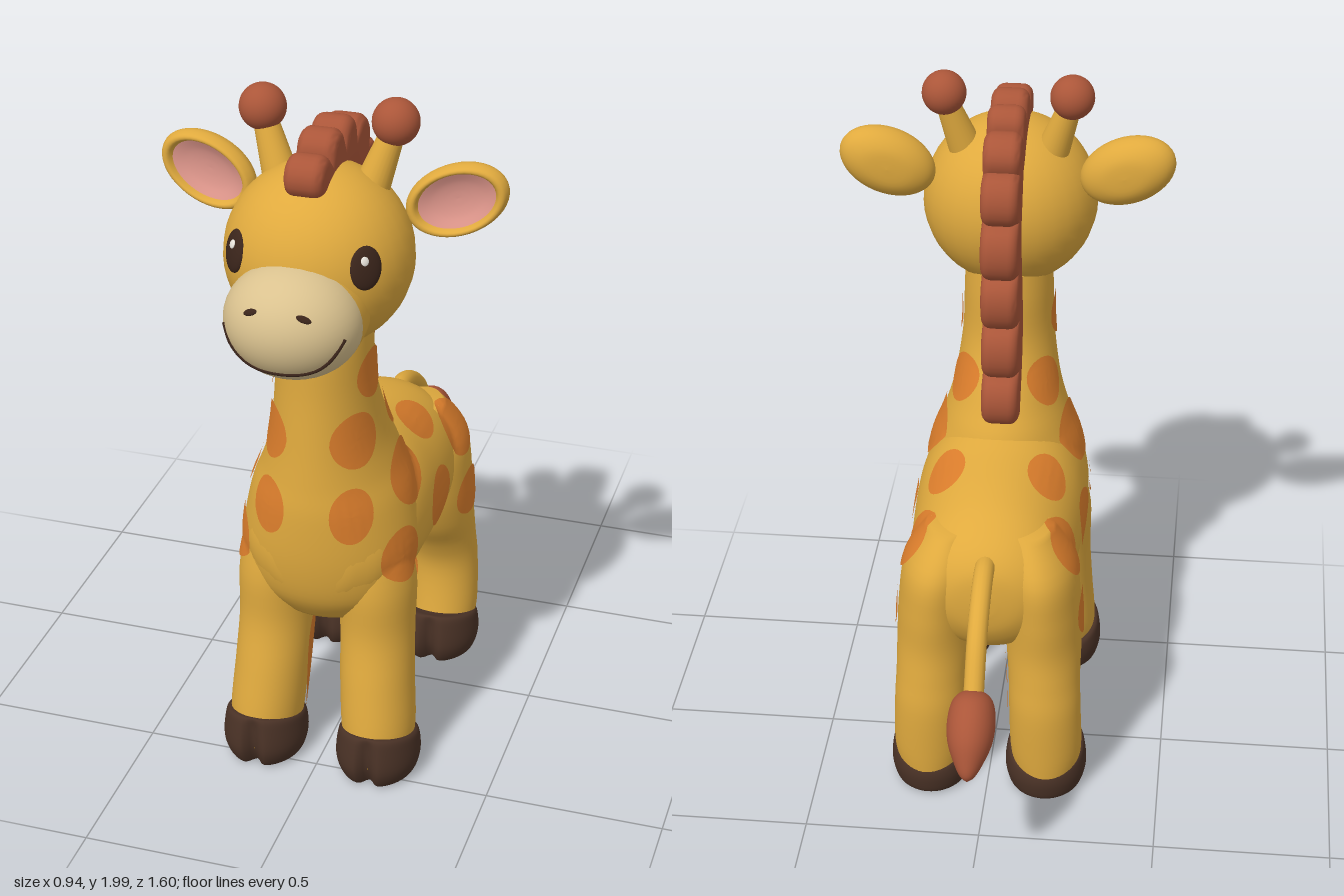
import * as THREE from 'three';
import { toCreasedNormals } from 'three/addons/utils/BufferGeometryUtils.js';

const V = (x, y, z) => new THREE.Vector3(x, y, z);

function makeMaterial(name, color) {
  const m = new THREE.MeshStandardMaterial({ color });
  m.name = name;
  return m;
}

// Smoothly resample a list of number rows
function resample(rows, steps = 5) {
  const out = [];
  for (let i = 0; i < rows.length - 1; i++) {
    const a = rows[Math.max(i - 1, 0)], b = rows[i], c = rows[i + 1], d = rows[Math.min(i + 2, rows.length - 1)];
    for (let s = 0; s < steps; s++) {
      const t = s / steps;
      out.push(b.map((_, k) => b[k] + 0.5 * t * (c[k] - a[k] + t * (2 * a[k] - 5 * b[k] + 4 * c[k] - d[k]
        + t * (3 * (b[k] - c[k]) + d[k] - a[k])))));
    }
  }
  out.push(rows[rows.length - 1]);
  return out;
}

// Closed smooth skin over rings; point(row, angle) gives a ring vertex
function loft(rows, point, n = 48) {
  const pos = [], idx = [], R = rows.length;
  rows.forEach(r => {
    for (let j = 0; j < n; j++) pos.push(...point(r, j / n * Math.PI * 2).toArray());
  });
  for (let i = 0; i < R - 1; i++) for (let j = 0; j < n; j++) {
    const a = i * n + j, b = i * n + (j + 1) % n;
    idx.push(a, a + n, b, b, a + n, b + n);
  }
  for (const i of [0, R - 1]) {
    const c = V(0, 0, 0), at = pos.length / 3;
    for (let j = 0; j < n; j++) c.add(V(...pos.slice((i * n + j) * 3, (i * n + j) * 3 + 3)));
    pos.push(...c.divideScalar(n).toArray());
    for (let j = 0; j < n; j++) {
      const a = i * n + j, b = i * n + (j + 1) % n;
      idx.push(...(i ? [at, a, b].reverse() : [at, a, b]));
    }
  }
  const g = new THREE.BufferGeometry();
  g.setAttribute('position', new THREE.Float32BufferAttribute(pos, 3));
  g.setIndex(idx);
  g.computeVertexNormals();
  return g;
}

// Copy an indexed geometry to the other side
function mirror(geo) {
  const g = geo.clone().applyMatrix4(new THREE.Matrix4().makeScale(-1, 1, 1));
  const a = g.index.array;
  for (let i = 0; i < a.length; i += 3) [a[i], a[i + 1]] = [a[i + 1], a[i]];
  return g;
}

// Turn local +z to a direction and move to a point
function place(geo, p, dir) {
  const q = new THREE.Quaternion().setFromUnitVectors(V(0, 0, 1), dir.clone().normalize());
  return geo.applyQuaternion(q).translate(p.x, p.y, p.z);
}

const ball = (x, y, z) => new THREE.SphereGeometry(1, 32, 24).scale(x, y, z);

// Patch draped over the target meshes, seen along normal n
function patch(targets, aim, n, ru, rv) {
  n = n.clone().normalize();
  const u = V(0, 1, 0).cross(n).normalize(), v = n.clone().cross(u);
  const ray = new THREE.Raycaster(), seg = 28, rings = 7, pos = [], idx = [], last = [];
  for (let k = 0; k <= rings; k++) for (let j = 0; j < seg; j++) {
    const t = j / seg * Math.PI * 2, r = k / rings;
    const o = aim.clone().addScaledVector(u, ru * r * Math.cos(t)).addScaledVector(v, rv * r * Math.sin(t)).addScaledVector(n, 0.6);
    ray.set(o, n.clone().negate());
    const hit = ray.intersectObjects(targets)[0];
    if (hit && (!last[j] || Math.abs(hit.distance - last[j].d) < 0.06)) {
      last[j] = { d: hit.distance, p: hit.point.clone().addScaledVector(hit.face.normal, 0.006) };
    }
    pos.push(...(last[j] ? last[j].p : aim).toArray());
    if (k < rings) {
      const a = k * seg + j, b = k * seg + (j + 1) % seg;
      idx.push(a, a + seg, b, b, a + seg, b + seg);
    }
  }
  const g = new THREE.BufferGeometry();
  g.setAttribute('position', new THREE.Float32BufferAttribute(pos, 3));
  g.setIndex(idx);
  g.computeVertexNormals();
  return g;
}

export function createModel() {
  const model = new THREE.Group();
  model.name = 'giraffe';
  const yellow = makeMaterial('yellow coat', 0xe0aa3e), orange = makeMaterial('orange spots', 0xdc7e2c);
  const rust = makeMaterial('rust mane', 0xab5639), brown = makeMaterial('hoof brown', 0x4a3226);
  const cream = makeMaterial('cream muzzle', 0xdac28f), pink = makeMaterial('ear pink', 0xdf978c);
  const dark = makeMaterial('dark eye', 0x3b251b), white = makeMaterial('eye glint', 0xf4efe6);
  const add = (name, geo, mat) => {
    const m = new THREE.Mesh(geo, mat);
    m.name = name;
    model.add(m);
    return m;
  };
  const pair = (name, geo, mat) => {
    add(name + 'Right', mirror(geo), mat);
    return add(name + 'Left', geo, mat);
  };

  // Torso: z, top, bottom, half width
  const torso = add('torso', loft(resample([
    [0.55, 0.78, 0.64, 0.07], [0.53, 0.84, 0.58, 0.13], [0.47, 0.9, 0.52, 0.2], [0.35, 0.95, 0.47, 0.24],
    [0.2, 0.98, 0.455, 0.248], [0.05, 0.955, 0.455, 0.245], [-0.1, 0.93, 0.46, 0.235], [-0.2, 0.9, 0.48, 0.22],
    [-0.28, 0.85, 0.52, 0.18], [-0.325, 0.79, 0.59, 0.11], [-0.338, 0.72, 0.66, 0.03]]),
  ([z, top, bot, w], t) => V(w * Math.cos(t), (top + bot) / 2 + (top - bot) / 2 * Math.sin(t), z)), yellow);

  // Upright sections: y, centre x, half width, back z, front z, tilt, front notch
  const upright = ([y, cx, w, zb, zf, tilt = 0, notch = 0], t) => {
    const r = (zf - zb) / 2, s = Math.sin(t) * r;
    return V(cx + w * Math.cos(t), y + tilt * s, (zf + zb) / 2 + s - notch * Math.exp(-(((t - Math.PI / 2) / 0.17) ** 2)));
  };
  const neck = add('neck', loft(resample([
    [0.5, 0, 0.15, 0.24, 0.48], [0.58, 0, 0.22, 0.18, 0.535], [0.7, 0, 0.245, 0.12, 0.562], [0.85, 0, 0.222, 0.09, 0.568],
    [0.95, 0, 0.185, 0.1, 0.56], [1.05, 0, 0.155, 0.15, 0.552], [1.2, 0, 0.133, 0.22, 0.543], [1.35, 0, 0.128, 0.235, 0.54],
    [1.48, 0, 0.12, 0.25, 0.52]]), upright), yellow);

  // Legs and cloven hooves
  const frontLeg = pair('frontLeg', loft(resample([
    [0.06, 0.165, 0.09, 0.33, 0.55], [0.15, 0.165, 0.103, 0.312, 0.555], [0.3, 0.155, 0.104, 0.295, 0.53],
    [0.45, 0.148, 0.104, 0.272, 0.503], [0.6, 0.143, 0.108, 0.25, 0.505], [0.75, 0.13, 0.09, 0.28, 0.48]]), upright), yellow);
  const rearLeg = pair('rearLeg', loft(resample([
    [0.06, 0.17, 0.09, -0.33, -0.1], [0.15, 0.17, 0.103, -0.338, -0.125], [0.3, 0.166, 0.103, -0.345, -0.142],
    [0.4, 0.162, 0.103, -0.336, -0.11], [0.5, 0.157, 0.108, -0.328, -0.045], [0.62, 0.152, 0.108, -0.335, -0.005],
    [0.75, 0.14, 0.1, -0.328, -0.01], [0.86, 0.11, 0.06, -0.25, -0.08]]), upright), yellow);
  for (const [name, b, f] of [['frontHoof', 0.305, 0.585], ['rearHoof', -0.335, -0.06]]) {
    pair(name, loft(resample([
      [0.008, 0.168, 0.085, b + 0.03, f - 0.045, 0, 0.02], [0.015, 0.168, 0.105, b + 0.01, f - 0.02, 0, 0.035],
      [0.06, 0.168, 0.118, b, f, 0.04, 0.035], [0.11, 0.168, 0.115, b, f - 0.008, 0.2, 0.02],
      [0.135, 0.168, 0.106, b + 0.008, f - 0.02, 0.28, 0.005], [0.137, 0.168, 0.08, b + 0.03, f - 0.045, 0.28, 0]]), upright, 64), brown);
  }

  // Coat spots: aim point, facing direction, radii
  const body = [torso, neck, frontLeg, rearLeg];
  for (const [aim, n, ru, rv] of [
    [[0.12, 1.25, 0.4], [1, 0, 0.1], 0.07, 0.07], [[0.11, 1.08, 0.48], [1, 0, 0.6], 0.075, 0.08],
    [[0.12, 1.09, 0.25], [1, 0, -0.5], 0.07, 0.07], [[0.19, 0.9, 0.3], [1, 0.25, 0], 0.11, 0.09],
    [[0.115, 0.87, 0.53], [0.4, 0, 1], 0.06, 0.08], [[0.15, 0.91, 0.02], [0.6, 1, 0], 0.09, 0.065],
    [[0.24, 0.71, 0.42], [1, 0, 0.1], 0.075, 0.08], [[0.24, 0.72, 0.11], [1, 0, 0], 0.1, 0.08],
    [[0.21, 0.79, -0.16], [1, 0.35, 0], 0.088, 0.085], [[0.25, 0.59, -0.16], [1, 0, 0], 0.08, 0.072]]) {
    pair('spot', patch(body, V(...aim), V(...n), ru, rv), orange);
  }
  pair('frontLegInnerPatch', patch([frontLeg], V(0.06, 0.29, 0.36), V(-1, 0, -0.5), 0.065, 0.2), orange);
  pair('rearLegInnerPatch', patch([rearLeg], V(0.06, 0.32, -0.2), V(-1, 0, 0.3), 0.06, 0.16), orange);

  // Head with two-tone muzzle
  add('head', ball(0.25, 0.25, 0.24).translate(0, 1.59, 0.425), yellow);
  const dome = () => new THREE.SphereGeometry(1, 40, 16, 0, Math.PI * 2, 0, Math.PI / 2);
  add('muzzle', dome().rotateX(Math.PI / 2).scale(0.182, 0.153, 0.165).translate(0, 1.5, 0.635), cream);
  add('jaw', dome().rotateX(-Math.PI / 2).scale(0.182, 0.153, 0.38).translate(0, 1.5, 0.635), yellow);
  const onMuzzle = (x, y) => V(x, y, 0.635 + 0.165 * Math.sqrt(Math.max(0, 1 - (x / 0.182) ** 2 - ((y - 1.5) / 0.153) ** 2)));
  const smile = [];
  for (let i = -8; i <= 8; i++) smile.push(onMuzzle(i * 0.02, 1.408 + 0.085 * (i / 8) ** 4 + 0.01 * (i / 8) ** 2));
  add('mouth', new THREE.TubeGeometry(new THREE.CatmullRomCurve3(smile), 48, 0.005, 6), dark);
  pair('nostril', place(ball(0.02, 0.009, 0.005).rotateZ(-0.3), onMuzzle(0.07, 1.57), V(0.35, 0.5, 0.8)), dark);

  // Eyes
  pair('eye', place(ball(0.045, 0.057, 0.016), V(0.172, 1.64, 0.582), V(0.17, 0.05, 0.165)), dark);
  pair('eyeGlint', place(ball(0.011, 0.012, 0.004), V(0.175, 1.665, 0.596), V(0.17, 0.1, 0.165)), white);

  // Cupped ears
  const earPart = pts => new THREE.LatheGeometry(
    new THREE.SplineCurve(pts.map(p => new THREE.Vector2(...p))).getPoints(24), 40)
    .rotateX(Math.PI / 2).scale(0.14, 0.095, 1).rotateZ(0.42).rotateY(0.1).translate(0.335, 1.735, 0.3);
  pair('ear', earPart([[0, -0.05], [0.5, -0.045], [0.85, -0.022], [1, 0.012], [0.94, 0.042], [0.82, 0.045], [0.74, 0.025]]), yellow);
  pair('earInner', earPart([[0.76, 0.03], [0.5, 0.018], [0.25, 0.012], [0, 0.01]]), pink);

  // Horns
  const low = V(0.115, 1.74, 0.37), top = V(0.178, 1.93, 0.337), axis = top.clone().sub(low);
  pair('horn', place(new THREE.CylinderGeometry(0.03, 0.05, axis.length(), 24).rotateX(Math.PI / 2),
    low.clone().lerp(top, 0.5), axis), yellow);
  pair('hornKnob', ball(0.062, 0.062, 0.062).translate(0.178, 1.938, 0.337), rust);

  // Scalloped mane drawn in (z, y)
  const edge = [[0.555, 1.805], [0.46, 1.86], [0.35, 1.865], [0.25, 1.85], [0.14, 1.79], [0.115, 1.65],
    [0.11, 1.49], [0.135, 1.33], [0.135, 1.17], [0.13, 1.02]];
  const shape = new THREE.Shape().moveTo(...edge[0]);
  for (let i = 1; i < edge.length; i++) {
    const [x0, y0] = edge[i - 1], [x1, y1] = edge[i], len = Math.hypot(x1 - x0, y1 - y0);
    const nx = (y1 - y0) / len * 0.08, ny = -(x1 - x0) / len * 0.08;
    shape.bezierCurveTo(x0 + nx, y0 + ny, x1 + nx, y1 + ny, x1, y1);
  }
  for (const p of [[0.18, 1.0], [0.235, 1.12], [0.265, 1.25], [0.25, 1.4], [0.215, 1.5], [0.205, 1.62], [0.25, 1.74], [0.36, 1.79], [0.5, 1.77]]) shape.lineTo(...p);
  const mane = new THREE.ExtrudeGeometry(shape, { depth: 0.05, curveSegments: 10, bevelThickness: 0.028, bevelSize: 0.028, bevelOffset: -0.024, bevelSegments: 5 });
  add('mane', toCreasedNormals(mane.translate(0, 0, -0.025).rotateY(-Math.PI / 2), 0.9), rust);

  // Tail and tuft
  const tail = new THREE.CatmullRomCurve3([V(0, 0.8, -0.26), V(0, 0.805, -0.34), V(0, 0.78, -0.42), V(0, 0.71, -0.52), V(0, 0.58, -0.615)]);
  add('tail', new THREE.TubeGeometry(tail, 32, 0.028, 16), yellow);
  const tuft = resample([[0, -0.205], [0.018, -0.195], [0.036, -0.17], [0.06, -0.12], [0.066, -0.07], [0.056, -0.025], [0.03, -0.003], [0, 0]]);
  add('tailTuft', new THREE.LatheGeometry(tuft.map(([r, y]) => new THREE.Vector2(Math.max(r, 0), y)), 28)
    .rotateX(0.72).scale(1, 1.1, 1.35).translate(0, 0.6, -0.605), rust);
  add('tailTuftLock', place(ball(0.03, 0.03, 0.07), V(0, 0.52, -0.7), V(0, -0.6, -0.6)), rust);

  return model;
}
